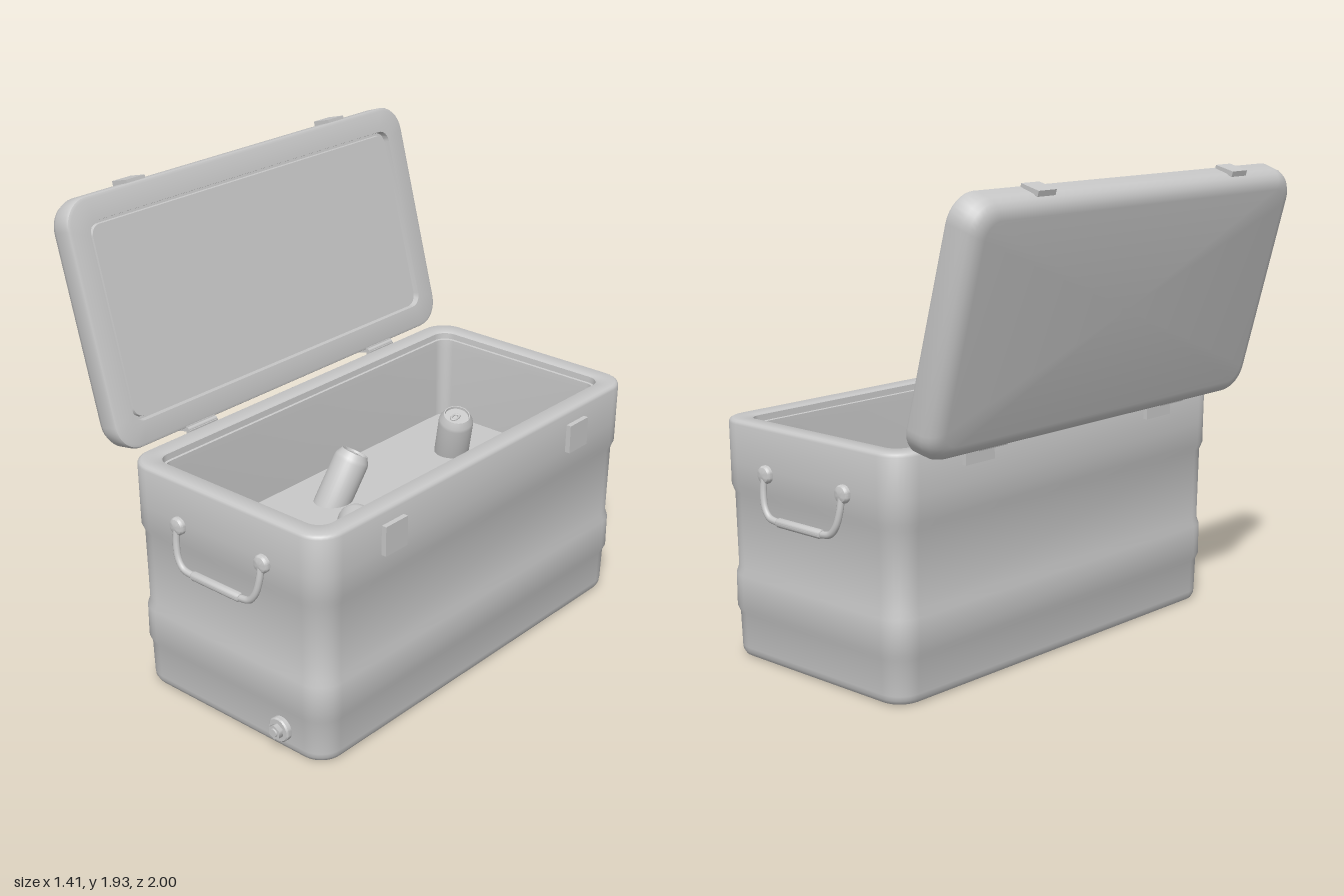
import * as THREE from 'three';
import { toCreasedNormals } from 'three/addons/utils/BufferGeometryUtils.js';

const grey = new THREE.MeshStandardMaterial({ color: 0xc8c8c8 });
grey.name = 'plain grey';

function add(parent, name, geometry, x = 0, y = 0, z = 0) {
  const mesh = new THREE.Mesh(geometry, grey);
  mesh.name = name;
  mesh.position.set(x, y, z);
  parent.add(mesh);
  return mesh;
}

// Points of a rounded rectangle in the xz plane
function roundedRing(hx, hz, r, y, steps = 8) {
  const points = [];
  const corners = [[1, 1], [-1, 1], [-1, -1], [1, -1]];
  corners.forEach(([sx, sz], k) => {
    for (let i = 0; i <= steps; i++) {
      const a = (k + i / steps) * Math.PI / 2;
      points.push([sx * (hx - r) + r * Math.cos(a), y, sz * (hz - r) + r * Math.sin(a)]);
    }
  });
  return points;
}

// Loft of rounded rectangles; profile rows are [y, inset], inset null closes to the centre
function loft(hx, hz, radius, profile) {
  const rings = profile.map(([y, inset]) => inset === null
    ? roundedRing(0, 0, 0, y)
    : roundedRing(hx - inset, hz - inset, Math.max(0.04, radius - inset * 0.6), y));
  const pos = [];
  for (let i = 0; i < rings.length - 1; i++) {
    const low = rings[i], high = rings[i + 1], n = low.length;
    for (let j = 0; j < n; j++) {
      const k = (j + 1) % n;
      if (profile[i][1] !== null) pos.push(...low[j], ...high[j], ...low[k]);
      if (profile[i + 1][1] !== null) pos.push(...low[k], ...high[j], ...high[k]);
    }
  }
  const g = new THREE.BufferGeometry();
  g.setAttribute('position', new THREE.Float32BufferAttribute(pos, 3));
  return toCreasedNormals(g, 0.7);
}

function lathe(points, segments = 32) {
  return toCreasedNormals(new THREE.LatheGeometry(points.map(p => new THREE.Vector2(...p)), segments), 0.6);
}

function makeHandle() {
  const handle = new THREE.Group();
  handle.name = 'handle';
  const mid = 0.183;
  for (const s of [-1, 1]) {
    // Pivot boss on the wall
    const boss = add(handle, 'handleMount',
      lathe([[0.036, 0], [0.036, 0.018], [0.03, 0.027], [0.016, 0.032], [0, 0.033]], 24),
      mid + s * 0.218, 0.785, 0.948);
    boss.rotation.x = Math.PI / 2;
    // Curved arm
    const path = new THREE.CatmullRomCurve3([
      [0.218, 0.785, 0.965], [0.216, 0.72, 0.974], [0.2, 0.66, 0.981], [0.172, 0.627, 0.983], [0.12, 0.616, 0.982],
    ].map(([x, y, z]) => new THREE.Vector3(mid + s * x, y, z)));
    add(handle, 'handleArm', new THREE.TubeGeometry(path, 24, 0.014, 10));
  }
  // Grip
  const grip = add(handle, 'handleGrip',
    lathe([[0, -0.125], [0.016, -0.125], [0.0185, -0.118], [0.0185, 0.118], [0.016, 0.125], [0, 0.125]], 20),
    mid, 0.617, 0.981);
  grip.rotation.z = Math.PI / 2;
  return handle;
}

// A drinks can; axis runs along direction, top is the centre of its upper end
function makeCan(top, direction) {
  const can = new THREE.Group();
  can.name = 'can';
  add(can, 'canBody', lathe([
    [0, -0.285], [0.045, -0.295], [0.052, -0.3], [0.072, -0.275], [0.074, -0.26],
    [0.074, -0.04], [0.071, -0.026], [0.058, -0.004], [0.056, 0], [0.052, 0], [0.05, -0.01], [0, -0.01],
  ]));
  const tab = add(can, 'canTab', new THREE.TorusGeometry(0.014, 0.005, 6, 16), 0, -0.007, 0.01);
  tab.rotation.x = Math.PI / 2;
  tab.scale.set(0.9, 1.5, 1);
  can.position.set(...top);
  can.quaternion.setFromUnitVectors(new THREE.Vector3(0, 1, 0), new THREE.Vector3(...direction).normalize());
  return can;
}

export function createModel() {
  const cooler = new THREE.Group();
  cooler.name = 'openCooler';

  // Box: outer wall, rim, inner wall and filled floor
  add(cooler, 'box', loft(0.505, 0.955, 0.11, [
    [0, null], [0, 0.05], [0.006, 0.035], [0.022, 0.026], [0.04, 0.024],
    [0.18, 0.02], [0.205, 0.01], [0.34, 0.01], [0.37, 0.019],
    [0.675, 0.014], [0.705, 0.003], [0.8, 0.002], [0.955, 0], [0.965, 0.004], [0.97, 0.012],
    [0.97, 0.076], [0.965, 0.082], [0.94, 0.084], [0.938, 0.093], [0.9, 0.096], [0.58, 0.1], [0.58, null],
  ]), 0.185, 0, 0);

  // Lid, swung back on its hinge edge
  const lid = new THREE.Group();
  lid.name = 'lid';
  lid.position.set(-0.335, 0.975, 0);
  lid.rotation.z = THREE.MathUtils.degToRad(105);
  cooler.add(lid);
  add(lid, 'lidShell', loft(0.4925, 0.955, 0.11, [
    [0.012, null], [0.012, 0.115], [0.025, 0.112], [0.025, 0.102], [0, 0.098],
    [0, 0.014], [0.004, 0.004], [0.014, 0], [0.08, 0.004], [0.105, 0.014],
    [0.122, 0.03], [0.132, 0.05], [0.135, 0.07], [0.135, null],
  ]), 0.4925, 0, 0);

  for (const s of [-1, 1]) {
    // Latches on lid and box
    add(lid, 'lidLatch', new THREE.BoxGeometry(0.022, 0.085, 0.095), 0.987, 0.06, s * 0.573);
    add(cooler, 'boxLatch', new THREE.BoxGeometry(0.03, 0.12, 0.122), 0.695, 0.85, s * 0.573);
    // Hinges
    add(cooler, 'hingeLeaf', new THREE.BoxGeometry(0.02, 0.09, 0.155), -0.327, 0.925, s * 0.54);
    add(lid, 'lidHingeLeaf', new THREE.BoxGeometry(0.02, 0.075, 0.155), -0.002, 0.035, s * 0.54);
    const pin = add(cooler, 'hingePin', new THREE.CylinderGeometry(0.01, 0.01, 0.155, 12), -0.331, 0.97, s * 0.54);
    pin.rotation.x = Math.PI / 2;
  }

  // Carry handles at both ends
  const frontHandle = makeHandle();
  const backHandle = makeHandle();
  backHandle.rotation.y = Math.PI;
  backHandle.position.x = 0.366;
  cooler.add(frontHandle, backHandle);

  // Drain plug
  const drain = new THREE.Group();
  drain.name = 'drainPlug';
  drain.position.set(0.46, 0.095, 0.925);
  drain.rotation.x = Math.PI / 2;
  cooler.add(drain);
  add(drain, 'drainFlange', lathe([[0.05, 0], [0.05, 0.026], [0.045, 0.032], [0, 0.032]]));
  add(drain, 'drainNut', new THREE.CylinderGeometry(0.03, 0.03, 0.02, 6).toNonIndexed(), 0, 0.042, 0);
  add(drain, 'drainCap', new THREE.CylinderGeometry(0.016, 0.018, 0.008, 20), 0, 0.054, 0);

  // Cans standing or lying in the filling
  [
    [[0.12, 0.78, -0.525], [0.26, 0.94, 0.18]],
    [[0.02, 0.77, 0.02], [0.13, 0.87, -0.46]],
    [[0.44, 0.6, 0.08], [0.17, 0.02, 0.98]],
    [[0.205, 0.62, 0.215], [-0.55, 0.13, -0.82]],
    [[-0.135, 0.75, 0.665], [-0.42, 0.9, 0.08]],
  ].forEach(([top, direction]) => cooler.add(makeCan(top, direction)));

  return cooler;
}
